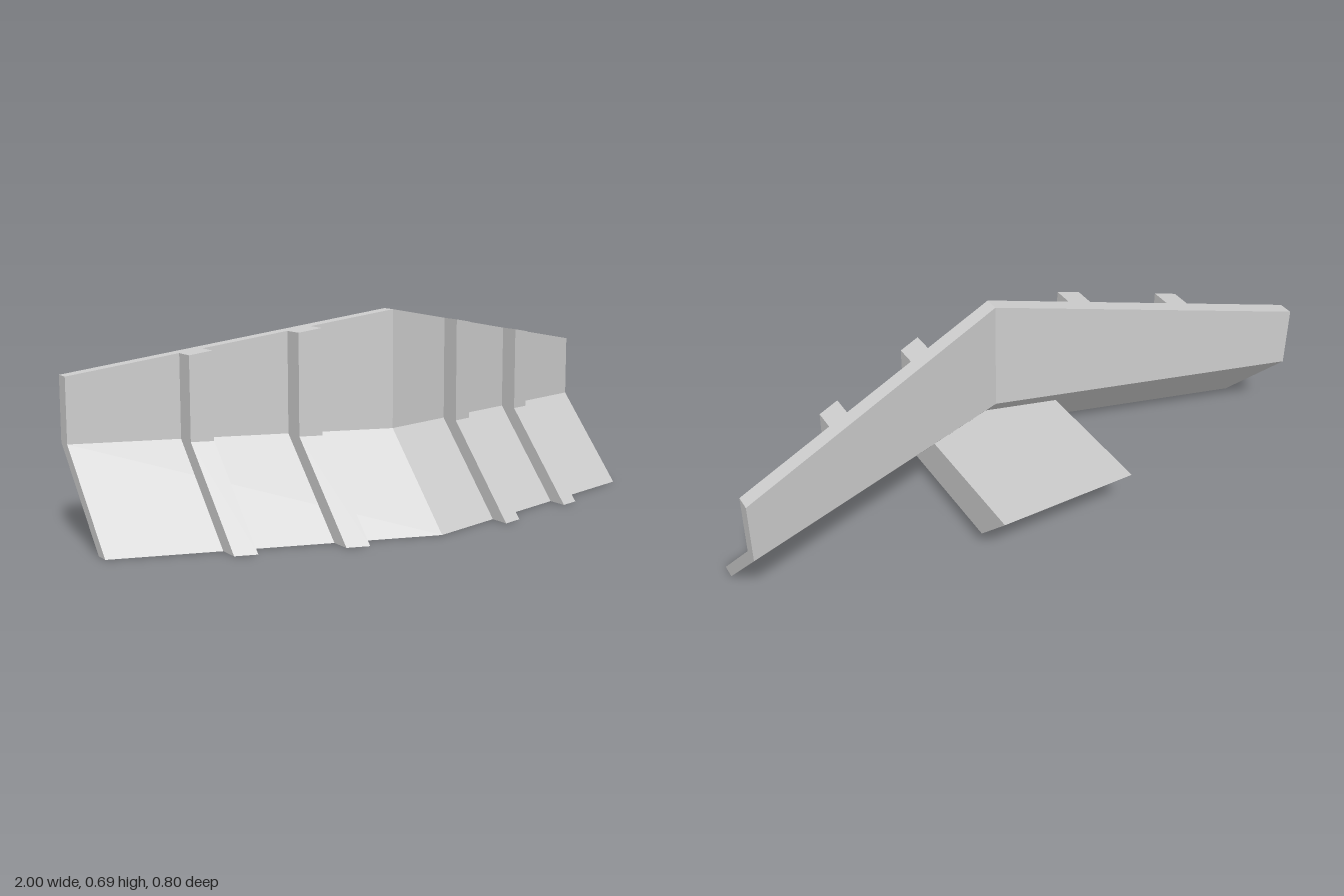
import * as THREE from 'three';

const SWEEP = 0.3; // how far the V falls back per unit of x

// Blade cross-section at x as [z, y], between two z offsets from the front face
function bladeSection(x, front, back) {
  const a = Math.abs(x);
  const foot = 0.4 - SWEEP * a;
  const wall = 0.12 - SWEEP * a;
  const top = 0.69 - 0.18 * a;
  return [
    [foot + front, 0], [foot + back, 0], [wall + back, 0.3],
    [wall + back, top], [wall + front, top], [wall + front, 0.3],
  ];
}

// Hitch block cross-section: slanted rear, front buried in the sloping blade
function blockSection(x) {
  const face = (y) => 0.37 - SWEEP * Math.abs(x) - y * 0.933;
  return [[face(0.07), 0.07], [-0.25, 0.07], [-0.4, 0.225], [face(0.225), 0.225]];
}

// Solid through the cross-sections at increasing x values, closed at both ends
function loft(name, xs, section, material) {
  const rings = xs.map(section);
  const n = rings[0].length;
  const positions = rings.flatMap((ring, s) => ring.flatMap(([z, y]) => [xs[s], y, z]));
  const index = [];
  for (let s = 0; s < xs.length - 1; s++) {
    for (let i = 0; i < n; i++) {
      const a = s * n + i;
      const b = s * n + (i + 1) % n;
      index.push(a, b, b + n, a, b + n, a + n);
    }
  }
  const last = (xs.length - 1) * n;
  const capFaces = (ring) => THREE.ShapeUtils.triangulateShape(
    ring.map(([z, y]) => new THREE.Vector2(-z, y)), []);
  for (const [a, b, c] of capFaces(rings[0])) index.push(a, c, b);
  for (const [a, b, c] of capFaces(rings[rings.length - 1])) {
    index.push(last + a, last + b, last + c);
  }
  const indexed = new THREE.BufferGeometry();
  indexed.setAttribute('position', new THREE.Float32BufferAttribute(positions, 3));
  indexed.setIndex(index);
  const geometry = indexed.toNonIndexed();
  geometry.computeVertexNormals();
  const mesh = new THREE.Mesh(geometry, material);
  mesh.name = name;
  return mesh;
}

export function createModel() {
  const group = new THREE.Group();
  group.name = 'plowBlade';
  const material = new THREE.MeshStandardMaterial({ color: 0xcccccc, flatShading: true });

  // V-shaped blade: sloping lower half, upright upper half
  group.add(loft('blade', [-1, 0, 1], (x) => bladeSection(x, 0, -0.05), material));

  // Ribs following the blade's front face
  const ribs = { innerRib: [0.263, 0.335], outerRib: [0.595, 0.665] };
  for (const [name, [near, far]] of Object.entries(ribs)) {
    const section = (x) => bladeSection(x, 0.07, 0);
    group.add(loft(name + 'Left', [near, far], section, material));
    group.add(loft(name + 'Right', [-far, -near], section, material));
  }

  // Mounting block behind the blade
  group.add(loft('mountingBlock', [-0.24, 0, 0.24], blockSection, material));

  return group;
}
